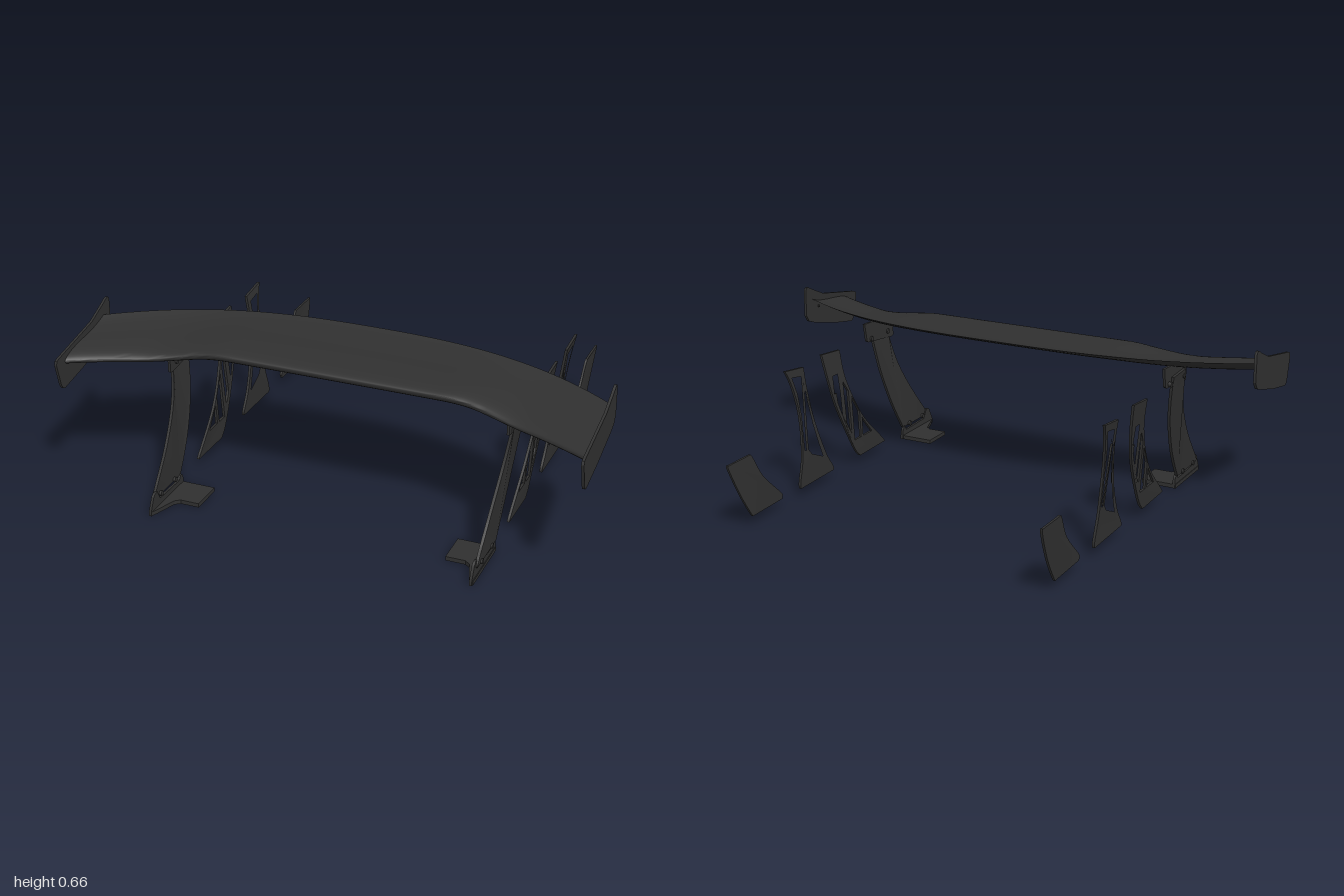
import * as THREE from 'three';
import { toCreasedNormals } from 'three/addons/utils/BufferGeometryUtils.js';

const black = new THREE.MeshStandardMaterial({ color: 0x303030 });
black.name = 'satin black';

const vec = (pts) => pts.map(([a, b]) => new THREE.Vector2(a, b));
const smooth = (pts, n = 20) => new THREE.SplineCurve(vec(pts)).getPoints(n).map((p) => [p.x, p.y]);

// Sideways lean of the uprights by height
const leanAt = (y) => 0.632 + 0.035 * (y / 0.48) ** 2;

function mesh(name, geometry) {
  const m = new THREE.Mesh(geometry, black);
  m.name = name;
  return m;
}

// Plate from a [z, y] outline; xAt gives the x of its middle plane by height
function plate(name, outline, thick, xAt, holes = []) {
  const flip = (pts) => vec(pts.map(([z, y]) => [-z, y]));
  const shape = new THREE.Shape(flip(outline));
  for (const h of holes) shape.holes.push(new THREE.Path(flip(h)));
  const geo = new THREE.ExtrudeGeometry(shape, { depth: thick, bevelEnabled: false });
  geo.translate(0, 0, -thick / 2).rotateY(Math.PI / 2);
  const p = geo.attributes.position;
  for (let i = 0; i < p.count; i++) p.setX(i, p.getX(i) + xAt(p.getY(i)));
  return mesh(name, toCreasedNormals(geo, 0.5));
}

// Swept wing: closed aerofoil sections along x
function wing() {
  const pos = [], idx = [], spans = 64, half = 16, ring = half * 2;
  for (let i = 0; i <= spans; i++) {
    const x = -0.99 + 1.98 * i / spans, a = Math.abs(x);
    const t = THREE.MathUtils.smoothstep(a, 0.42, 0.74);
    const zBack = 0.123 + 0.257 * a ** 2.66;
    const over = Math.max(0, a - 0.5);
    const zFront = 0.492 + 0.171 * (over / 0.49) ** 1.5;
    const yFront = THREE.MathUtils.lerp(0.575, 0.535, t);
    const yBack = 0.617 - 0.015 * a * a;
    const belly = THREE.MathUtils.lerp(0.047, 0.032, t);
    for (let j = 0; j < ring; j++) {
      const k = j < half ? 1 - j / half : (j - half) / half;
      const s = k * k * (1.5 - 0.5 * k);
      const bow = Math.sqrt(s) * (1 - s);
      const off = j < half ? 0.045 * bow - 0.09 * s * s * (1 - s) : -belly * bow / 0.385;
      pos.push(x, yFront + (yBack - yFront) * s + off, zFront + (zBack - zFront) * s);
    }
  }
  for (let i = 0; i < spans; i++) for (let j = 0; j < ring; j++) {
    const a = i * ring + j, b = i * ring + (j + 1) % ring, c = a + ring, d = b + ring;
    idx.push(a, b, c, b, d, c);
  }
  const geo = new THREE.BufferGeometry();
  geo.setAttribute('position', new THREE.Float32BufferAttribute(pos, 3));
  geo.setIndex(idx);
  return mesh('wing', toCreasedNormals(geo, 0.8));
}

function bolt(x, y, z, length, r = 0.006) {
  const b = mesh('bolt', new THREE.CylinderGeometry(r, r, length, 10).rotateZ(Math.PI / 2));
  b.position.set(x, y, z);
  return b;
}

// Flat foot with an inward tab
function foot(side) {
  const outline = [[0.49, 0.49], [0.49, 0.62], [0.565, 0.62], [0.585, 0.635], [0.614, 0.72],
    [0.622, 0.738], [0.635, 0.738], [0.635, 0.49]];
  const shape = new THREE.Shape(vec(outline.map(([x, z]) => [side * x, -z])));
  return mesh('foot', new THREE.ExtrudeGeometry(shape, { depth: 0.016, bevelEnabled: false }).rotateX(-Math.PI / 2));
}

const endPlate = [[0.326, 0.648], [0.332, 0.659], [0.345, 0.66], [0.375, 0.645], [0.46, 0.608], [0.7, 0.563],
  [0.716, 0.557], [0.721, 0.543], [0.7, 0.455], [0.69, 0.438], [0.676, 0.433], [0.54, 0.458],
  [0.38, 0.499], [0.345, 0.512], [0.326, 0.54]];

const mainStrut = [
  ...smooth([[0.7, 0.05], [0.69, 0.076], [0.58, 0.207], [0.5, 0.326], [0.46, 0.425], [0.44, 0.52]]),
  ...smooth([[0.322, 0.515], [0.33, 0.445], [0.358, 0.326], [0.42, 0.18], [0.5, 0.05]])];

const flange = [[0.743, 0], [0.743, 0.018], [0.718, 0.068], [0.705, 0.077], [0.69, 0.077], [0.67, 0.04],
  [0.52, 0.035], [0.505, 0.056], [0.493, 0.045], [0.488, 0.03], [0.488, 0]];

const bracket = [[0.477, 0.466], [0.46, 0.462], [0.28, 0.482], [0.268, 0.49], [0.252, 0.565], [0.36, 0.56], [0.477, 0.53]];

// Ribbed upright with four slots
const ribbed = [
  ...smooth([[0.342, 0.036], [0.334, 0.052], [0.2, 0.179], [0.123, 0.298], [0.08, 0.405], [0.072, 0.502]]),
  ...smooth([[-0.056, 0.514], [-0.036, 0.405], [0.004, 0.274], [0.103, 0.087], [0.15, 0.033]])];
const ribbedHoles = [
  [[0.247, 0.111], [0.179, 0.111], [0.179, 0.19]],
  [[0.163, 0.111], [0.115, 0.111], [0.115, 0.298], [0.163, 0.22]],
  [[0.095, 0.163], [0.085, 0.163], [0.064, 0.2], [0.064, 0.374], [0.095, 0.326]],
  [[0.032, 0.413], [-0.002, 0.413], [-0.004, 0.34], [0.01, 0.34], [0.012, 0.3], [0.036, 0.245], [0.036, 0.335]]];

// Waisted upright with a central spine
const waisted = [
  ...smooth([[-0.052, 0.036], [-0.056, 0.056], [-0.103, 0.127], [-0.159, 0.266], [-0.187, 0.405], [-0.19, 0.5]]),
  ...smooth([[-0.312, 0.514], [-0.282, 0.445], [-0.258, 0.326], [-0.262, 0.167], [-0.29, 0.06], [-0.288, 0.033]])];
const waistedHoles = [
  [[-0.203, 0.41], [-0.208, 0.4], [-0.222, 0.175], [-0.2, 0.15], [-0.125, 0.117], [-0.15, 0.18], [-0.178, 0.265], [-0.198, 0.37]],
  [[-0.215, 0.47], [-0.276, 0.48], [-0.255, 0.41], [-0.246, 0.32], [-0.248, 0.18], [-0.238, 0.175]]];

// Short solid upright
const short = [
  ...smooth([[-0.418, 0.048], [-0.425, 0.064], [-0.533, 0.167], [-0.59, 0.262], [-0.606, 0.272]]),
  ...smooth([[-0.735, 0.272], [-0.741, 0.26], [-0.684, 0.14], [-0.622, 0.042], [-0.61, 0.033]]),
  [-0.42, 0.036]];

export function createModel() {
  const model = new THREE.Group();
  model.name = 'rearWingKit';
  model.add(wing());
  for (const side of [1, -1]) {
    const half = new THREE.Group();
    half.name = side > 0 ? 'leftSide' : 'rightSide';
    const lean = (y) => side * leanAt(y);
    half.add(
      plate('endPlate', endPlate, 0.01, () => side * 0.995),
      plate('mainStrut', mainStrut, 0.011, lean),
      plate('footFlange', flange, 0.01, () => side * 0.627),
      plate('wingBracket', bracket, 0.01, () => side * 0.661),
      foot(side),
      plate('ribbedUpright', ribbed, 0.01, lean, ribbedHoles),
      plate('waistedUpright', waisted, 0.01, lean, waistedHoles),
      plate('shortUpright', short, 0.009, lean));
    // Fasteners
    for (const z of [0.3, 0.43]) half.add(bolt(side * 0.664, 0.493, z, 0.03, 0.01));
    for (const z of [0.55, 0.66]) half.add(bolt(side * 0.631, 0.055, z, 0.026, 0.01));
    for (const z of [0.42, 0.5, 0.6]) half.add(bolt(side * 0.993, 0.63 - z * 0.16, z, 0.014));
    model.add(half);
  }
  return model;
}
